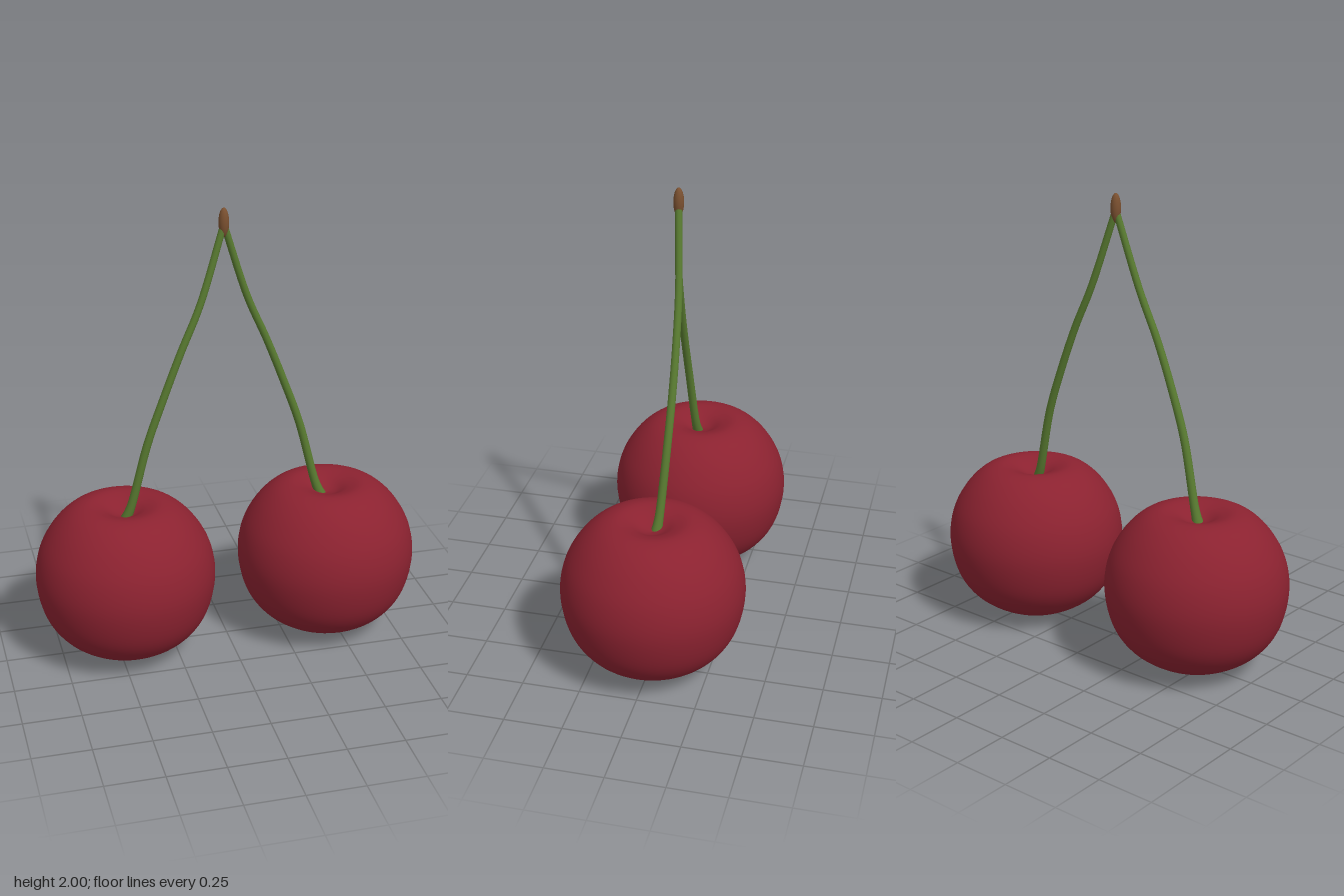
import * as THREE from 'three';

const v2 = (x, y) => new THREE.Vector2(x, y);

// Round fruit with a shallow dimple on top
function fruitGeometry() {
  const profile = new THREE.SplineCurve([
    v2(0, 0.005), v2(0.1, 0.014), v2(0.2, 0.05), v2(0.3, 0.122), v2(0.365, 0.225),
    v2(0.393, 0.37), v2(0.373, 0.5), v2(0.315, 0.607), v2(0.24, 0.68),
    v2(0.165, 0.708), v2(0.1, 0.696), v2(0.045, 0.668), v2(0, 0.655),
  ]).getPoints(72);
  profile.forEach((p) => { p.x = Math.max(p.x, 0); });
  profile[0].x = profile[profile.length - 1].x = 0;
  return new THREE.LatheGeometry(profile, 64);
}

// Tube whose radius follows a rule along its length
function taperedTube(curve, segments, sides, radiusAt) {
  const geo = new THREE.TubeGeometry(curve, segments, 1, sides, false);
  const pos = geo.attributes.position;
  const p = new THREE.Vector3();
  for (let i = 0; i <= segments; i++) {
    const centre = curve.getPointAt(i / segments);
    for (let j = 0; j <= sides; j++) {
      const k = i * (sides + 1) + j;
      p.fromBufferAttribute(pos, k).sub(centre).multiplyScalar(radiusAt(i / segments)).add(centre);
      pos.setXYZ(k, p.x, p.y, p.z);
    }
  }
  return geo;
}

export function createModel() {
  const red = new THREE.MeshStandardMaterial({ name: 'cherryRed', color: 0x8b2230 });
  const green = new THREE.MeshStandardMaterial({ name: 'stemGreen', color: 0x587a30 });
  const brown = new THREE.MeshStandardMaterial({ name: 'tipBrown', color: 0x7a5030 });
  const model = new THREE.Group();
  model.name = 'cherryPair';

  const add = (name, geometry, material, x = 0, y = 0, z = 0) => {
    const mesh = new THREE.Mesh(geometry, material);
    mesh.name = name;
    mesh.position.set(x, y, z);
    model.add(mesh);
  };

  const tipX = -0.012;
  const fruit = fruitGeometry();
  // Stem radius: slim, with a small flare where it meets the fruit
  const stemRadius = (t) => 0.0145 + 0.004 * (1 - t) + 0.008 * Math.exp(-t * 45);

  // Two fruits, each with a stem bowing outwards and sideways
  for (const [side, s] of [['left', 1], ['right', -1]]) {
    add(side + 'Cherry', fruit, red, s * 0.457);
    const path = new THREE.CatmullRomCurve3([
      [0.442, 0.645, 0.012], [0.418, 0.71, 0.018], [0.344, 1.0, 0.034], [0.273, 1.2, 0.038],
      [0.195, 1.4, 0.036], [0.108, 1.6, 0.026], [0, 1.93, 0],
    ].map(([x, y, z], i) => new THREE.Vector3(
      s * x + tipX * (i / 6 + 0.75 * (1 - i / 6)), y, -s * z)));
    add(side + 'Stem', taperedTube(path, 48, 14, stemRadius), green);
  }

  // Woody spindle joining the stems
  const spindle = new THREE.SphereGeometry(1, 20, 16);
  spindle.scale(0.022, 0.062, 0.022);
  add('stemTip', spindle, brown, tipX, 1.938, 0);

  return model;
}
